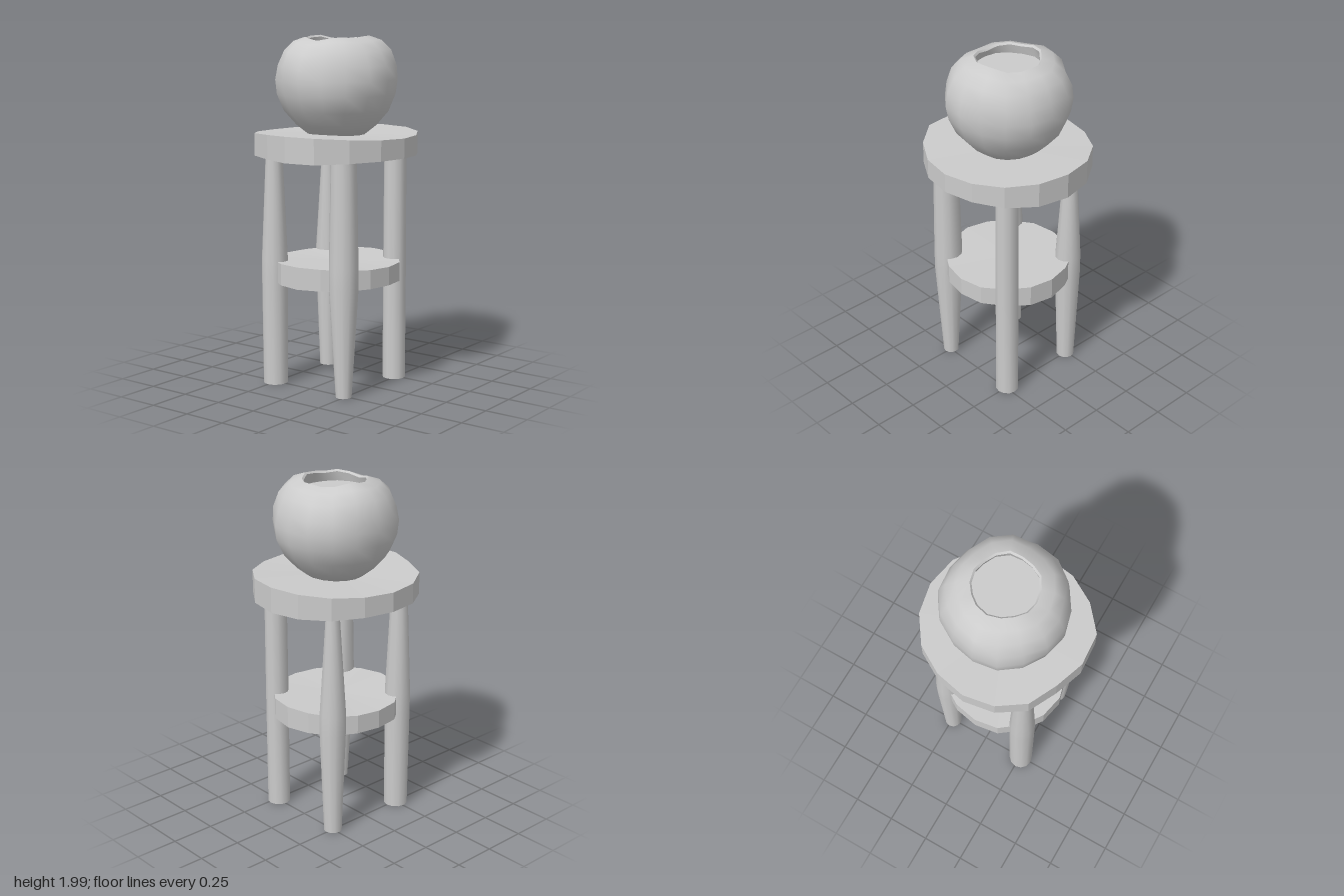
import * as THREE from 'three';
import { mergeVertices, toCreasedNormals } from 'three/addons/utils/BufferGeometryUtils.js';

const grey = new THREE.MeshStandardMaterial({ color: 0xcccccc });
const flat = new THREE.MeshStandardMaterial({ color: 0xcccccc, flatShading: true });
const doubleSided = new THREE.MeshStandardMaterial({ color: 0xcccccc, side: THREE.DoubleSide });

function addMesh(parent, name, geometry, material) {
  const mesh = new THREE.Mesh(geometry, material);
  mesh.name = name;
  parent.add(mesh);
  return mesh;
}

// Move every vertex of a geometry by a rule
function bend(geometry, rule) {
  const p = geometry.attributes.position;
  const v = new THREE.Vector3();
  for (let i = 0; i < p.count; i++) {
    rule(v.fromBufferAttribute(p, i));
    p.setXYZ(i, v.x, v.y, v.z);
  }
  geometry.computeVertexNormals();
  return geometry;
}

// Hand-cut round board: one radius per corner, starting at +z and turning to +x;
// the edge thickens towards the sides
function board(radii, bottom, top, flare) {
  const n = radii.length;
  const g = new THREE.CylinderGeometry(1, 1, top - bottom, n);
  return bend(g.translate(0, (top + bottom) / 2, 0), v => {
    if (Math.hypot(v.x, v.z) < 0.5) return;
    const corner = Math.round(Math.atan2(v.x, v.z) / (2 * Math.PI) * n);
    const r = radii[(corner + n) % n];
    v.x *= r;
    v.z *= r;
    v.y += (v.y > (top + bottom) / 2 ? 1 : -0.7) * flare * v.x * v.x;
  });
}

// Turned leg from its radii at foot, shelf and seat height
function leg(foot, middle, head) {
  const profile = [[0, 0.01], [foot, 0.01], [middle, 0.62], [middle, 0.74], [head, 1.3], [head, 1.37], [0, 1.37]];
  const g = new THREE.LatheGeometry(profile.map(([r, y]) => new THREE.Vector2(r, y)), 12);
  return toCreasedNormals(g, 0.8);
}

// Lumpy hollow pot: outer wall, rim and short inner wall
function pot() {
  const profile = [
    [0, 1.445], [0.16, 1.445], [0.23, 1.5], [0.3, 1.58], [0.338, 1.67], [0.348, 1.75],
    [0.338, 1.83], [0.305, 1.91], [0.25, 1.962], [0.182, 1.985], [0.172, 1.975], [0.19, 1.91],
  ];
  let g = new THREE.LatheGeometry(profile.map(([r, y]) => new THREE.Vector2(r, y)), 16);
  g.deleteAttribute('uv');
  g.deleteAttribute('normal');
  g = mergeVertices(g, 1e-4);
  bend(g, v => {
    const a = Math.atan2(v.x, v.z);
    const high = THREE.MathUtils.smoothstep(v.y, 1.5, 1.9);
    const s = 1 + 0.022 * high * Math.sin(5 * a + 9 * v.y) + 0.015 * high * Math.cos(3 * a - 14 * v.y);
    v.x *= s;
    v.z *= s;
    v.y += high * (0.008 * Math.cos(2 * a) + 0.007 * Math.sin(5 * a));
  });
  return toCreasedNormals(g, 0.75);
}

export function createModel() {
  const model = new THREE.Group();
  model.name = 'stoolWithPot';

  const seatRadii = [0.46, 0.457, 0.467, 0.472, 0.47, 0.47, 0.467, 0.457,
    0.46, 0.466, 0.467, 0.444, 0.47, 0.494, 0.474, 0.466];
  addMesh(model, 'seat', board(seatRadii, 1.335, 1.445, 0.09), flat);

  const shelfRadii = Array.from({ length: 16 }, (_, i) => 0.364 + 0.005 * Math.sin(i * 2.3));
  addMesh(model, 'shelf', board(shelfRadii, 0.615, 0.72, 0.09), flat);

  // Four legs, each turned differently: x, z, foot, middle and head radius
  const legs = [
    ['frontLeftLeg', 0.245, 0.235, 0.066, 0.066, 0.064],
    ['frontRightLeg', -0.258, 0.24, 0.045, 0.082, 0.072],
    ['backLeftLeg', 0.245, -0.245, 0.052, 0.075, 0.04],
    ['backRightLeg', -0.255, -0.25, 0.07, 0.075, 0.05],
  ];
  for (const [name, x, z, ...radii] of legs) {
    addMesh(model, name, leg(...radii), grey).position.set(x, 0, z);
  }

  addMesh(model, 'pot', pot(), doubleSided);

  // Flat filling just below the rim
  const filling = addMesh(model, 'potFilling', new THREE.CircleGeometry(0.2, 16), doubleSided);
  filling.rotation.x = -Math.PI / 2;
  filling.position.y = 1.925;

  // Rest the feet on the ground
  model.position.y = -new THREE.Box3().setFromObject(model).min.y;
  return model;
}
